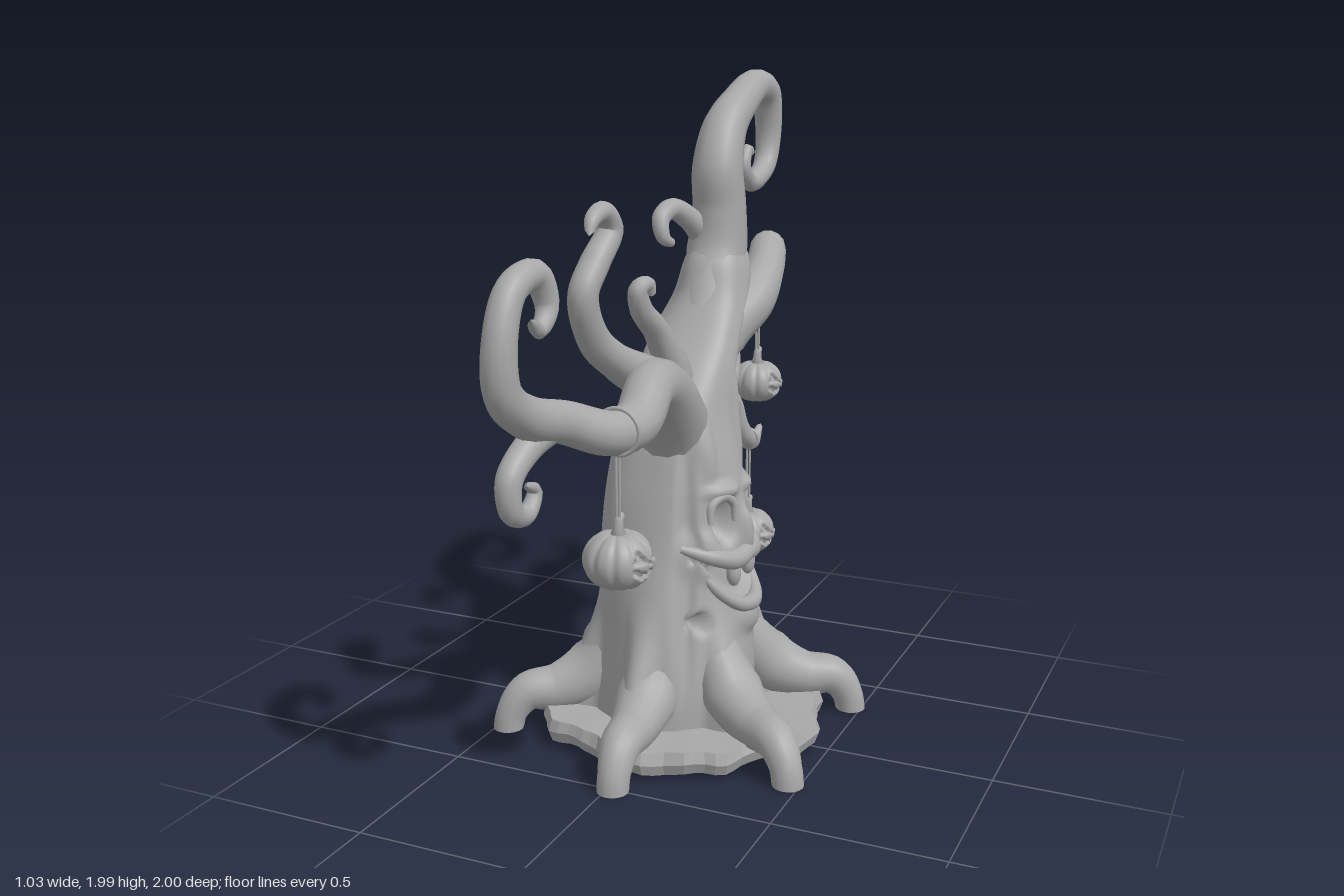
import * as THREE from 'three';

const bark = new THREE.MeshStandardMaterial({ color: 0xa8a8a8 });
bark.name = 'grey';

const smooth = THREE.MathUtils.smoothstep;
const bump = (a, b) => Math.exp(-Math.pow(a * a + b * b, 2));

function add(parent, geo, name) {
  const m = new THREE.Mesh(geo, bark);
  m.name = name;
  parent.add(m);
  return m;
}

// Tapered tube through [x, y, z, radius] points with a rounded tip
function limb(pts, sides = 14, per = 7) {
  const curve = new THREE.CatmullRomCurve3(pts.map(p => new THREE.Vector3(p[0], p[1], p[2])));
  const n = pts.length * per;
  const geo = new THREE.TubeGeometry(curve, n, 1, sides);
  const pos = geo.attributes.position, v = new THREE.Vector3();
  const len = curve.getLength(), tip = pts[pts.length - 1][3];
  for (let i = 0; i <= n; i++) {
    const u = i / n, c = curve.getPointAt(u);
    const t = curve.getUtoTmapping(u) * (pts.length - 1);
    const k = Math.min(Math.floor(t), pts.length - 2);
    let r = THREE.MathUtils.lerp(pts[k][3], pts[k + 1][3], t - k);
    const left = (1 - u) * len / tip;
    if (left < 1) r *= Math.sqrt(Math.max(0, 1 - (1 - left) ** 2));
    for (let j = 0; j <= sides; j++) {
      const id = i * (sides + 1) + j;
      v.fromBufferAttribute(pos, id).sub(c).multiplyScalar(r).add(c);
      pos.setXYZ(id, v.x, Math.max(0, v.y), v.z);
    }
  }
  return geo;
}

// Trunk extents by height: y, x min, x max, z min, z max
const rows = [
  [0.03, -0.27, 0.24, -0.31, 0.28], [0.2, -0.262, 0.24, -0.3, 0.265],
  [0.4, -0.248, 0.22, -0.28, 0.23], [0.6, -0.253, 0.203, -0.257, 0.188],
  [0.8, -0.235, 0.18, -0.238, 0.15], [1.0, -0.203, 0.14, -0.225, 0.085],
  [1.12, -0.178, 0.13, -0.235, 0.0], [1.22, -0.158, 0.12, -0.27, -0.095],
  [1.32, -0.13, 0.11, -0.36, -0.17], [1.45, -0.1, 0.08, -0.415, -0.225],
  [1.53, -0.03, 0.02, -0.36, -0.3],
];
const interp = new THREE.CubicInterpolant(rows.map(r => r[0]), rows.flatMap(r => r.slice(1)), 4);
function section(y) {
  const [a, b, c, d] = interp.evaluate(y);
  return { cx: (a + b) / 2, rx: (b - a) / 2, cz: (c + d) / 2, rz: (d - c) / 2 };
}
// x of the face side of the trunk at a given height and z
function surfaceX(y, z) {
  const s = section(y);
  return s.cx + s.rx * Math.sqrt(Math.max(0.05, 1 - ((z - s.cz) / s.rz) ** 2));
}

// Relief of the carved face at (y, z)
const faceZ = -0.035;
function carve(y, z) {
  let d = 0;
  for (const s of [-1, 1]) {
    const ez = z - faceZ - s * 0.073;
    d -= 0.06 * bump(ez / 0.034, (y - 0.69) / 0.06);
    d += 0.022 * bump(ez / 0.055, (y - 0.785) / 0.022);
    d += 0.025 * bump((z - faceZ - s * 0.15) / 0.045, (y - 0.6) / 0.07);
    d += 0.018 * bump((z - faceZ - s * 0.1) / 0.03, (y - 0.96) / 0.13);
  }
  d += 0.025 * bump((z - faceZ) / 0.022, (y - 0.65) / 0.07);
  d += 0.025 * bump((z - faceZ) / 0.07, (y - 0.39) / 0.05);
  const q = (z - faceZ) / 0.155;
  const low = 0.44 + 0.12 * q * q, high = 0.56 + 0.03 * q * q;
  if (Math.abs(q) < 1.15) d -= 0.045 * smooth(y, low - 0.01, low + 0.02) * (1 - smooth(y, high - 0.01, high + 0.02));
  d -= 0.05 * bump((z - 0.15) / 0.018, (y - 0.4) / 0.028);
  return d;
}

function trunkGeometry() {
  const N = 128, M = 120, pos = [], idx = [];
  for (let i = 0; i <= M; i++) {
    const y = 0.03 + 1.5 * i / M, s = section(y);
    const flare = 1 - smooth(y, 0.08, 0.5);
    for (let j = 0; j < N; j++) {
      const a = j / N * Math.PI * 2;
      // knobbly bark, a long cleft beside the face, swelling towards the six roots
      const w = 1 + 0.025 * Math.sin(5 * a + 3 * y) + 0.02 * Math.sin(3 * a - 7 * y)
        - 0.09 * bump((a - 1.02) / 0.13, (y - 0.58) / 0.36)
        + 0.3 * flare * Math.max(0, -Math.cos(6 * a)) ** 1.5;
      let x = s.cx + s.rx * w * Math.cos(a);
      const z = s.cz + s.rz * w * Math.sin(a);
      if (Math.cos(a) > 0) x += carve(y, z) * smooth(Math.cos(a), 0.05, 0.4);
      pos.push(x, y, z);
      if (i < M) {
        const p = i * N + j, q = i * N + (j + 1) % N;
        idx.push(p, p + N, q, q, p + N, q + N);
      }
    }
  }
  const geo = new THREE.BufferGeometry();
  geo.setAttribute('position', new THREE.Float32BufferAttribute(pos, 3));
  geo.setIndex(idx);
  geo.computeVertexNormals();
  return geo;
}

// Branch centre lines: x, y, z, radius
const branches = {
  crownCurl: [[-0.01, 1.2, -0.19, 0.07], [-0.01, 1.32, -0.255, 0.085], [-0.01, 1.45, -0.32, 0.095],
    [-0.01, 1.58, -0.338, 0.084], [-0.015, 1.7, -0.335, 0.08], [-0.02, 1.82, -0.4, 0.07], [-0.015, 1.89, -0.5, 0.06],
    [-0.015, 1.945, -0.65, 0.051], [-0.015, 1.915, -0.745, 0.05], [-0.02, 1.78, -0.785, 0.043], [-0.02, 1.68, -0.75, 0.037],
    [-0.02, 1.635, -0.62, 0.03], [-0.02, 1.69, -0.565, 0.024], [-0.02, 1.745, -0.6, 0.018], [-0.02, 1.72, -0.635, 0.012]],
  crownTwig: [[-0.03, 1.47, -0.32, 0.05], [-0.07, 1.55, -0.25, 0.036], [-0.1, 1.59, -0.18, 0.032],
    [-0.11, 1.565, -0.12, 0.028], [-0.1, 1.51, -0.115, 0.022], [-0.09, 1.485, -0.165, 0.012]],
  upperBackBranch: [[0, 1.06, -0.15, 0.05], [0.035, 1.2, -0.24, 0.085], [0.085, 1.295, -0.37, 0.078],
    [0.085, 1.365, -0.48, 0.065], [0.05, 1.425, -0.61, 0.058], [0, 1.365, -0.72, 0.05], [-0.05, 1.25, -0.795, 0.042],
    [-0.09, 1.225, -0.9, 0.035], [-0.1, 1.285, -0.965, 0.031], [-0.09, 1.36, -0.97, 0.028],
    [-0.08, 1.42, -0.93, 0.02], [-0.08, 1.39, -0.895, 0.01]],
  lowerBackBranch: [[-0.03, 0.76, -0.12, 0.08], [-0.045, 0.87, -0.24, 0.072], [-0.06, 0.915, -0.36, 0.054],
    [-0.06, 0.94, -0.45, 0.05], [-0.05, 0.915, -0.53, 0.042], [-0.04, 0.825, -0.58, 0.038], [-0.03, 0.77, -0.635, 0.032],
    [-0.03, 0.742, -0.7, 0.026], [-0.03, 0.785, -0.775, 0.008]],
  lowerBackTwig: [[-0.06, 0.93, -0.46, 0.035], [-0.06, 1.0, -0.57, 0.03], [-0.07, 1.08, -0.595, 0.028],
    [-0.07, 1.135, -0.545, 0.023], [-0.07, 1.11, -0.485, 0.016], [-0.07, 1.08, -0.505, 0.01]],
  mainFrontBranch: [[-0.02, 0.8, -0.06, 0.1], [0, 0.99, 0.055, 0.115], [0.03, 1.115, 0.2, 0.092],
    [0.06, 1.15, 0.33, 0.07], [0.08, 1.085, 0.46, 0.068], [0.06, 1.08, 0.58, 0.062], [-0.01, 1.13, 0.7, 0.058],
    [-0.04, 1.175, 0.85, 0.057], [-0.05, 1.25, 0.94, 0.05], [-0.05, 1.38, 0.95, 0.045], [-0.05, 1.5, 0.89, 0.042],
    [-0.04, 1.525, 0.785, 0.04], [-0.03, 1.44, 0.745, 0.032], [-0.03, 1.385, 0.79, 0.022], [-0.03, 1.42, 0.83, 0.012]],
  risingFrontBranch: [[0, 1.14, 0.2, 0.07], [-0.03, 1.22, 0.35, 0.052], [-0.05, 1.3, 0.45, 0.047],
    [-0.05, 1.43, 0.51, 0.042], [-0.04, 1.51, 0.46, 0.042], [-0.03, 1.595, 0.385, 0.037], [-0.03, 1.645, 0.425, 0.03],
    [-0.03, 1.63, 0.49, 0.022], [-0.03, 1.59, 0.51, 0.01]],
  smallMiddleBranch: [[0, 1.02, 0, 0.06], [-0.01, 1.14, 0.02, 0.055], [-0.03, 1.26, 0.085, 0.04], [-0.04, 1.34, 0.17, 0.034],
    [-0.04, 1.4, 0.19, 0.028], [-0.03, 1.41, 0.145, 0.022], [-0.03, 1.37, 0.12, 0.012]],
  droopingFrontTwig: [[-0.02, 1.14, 0.7, 0.045], [-0.05, 1.09, 0.82, 0.04], [-0.06, 1.02, 0.905, 0.036],
    [-0.06, 0.935, 0.895, 0.032], [-0.06, 0.91, 0.82, 0.026], [-0.06, 0.96, 0.775, 0.02], [-0.06, 0.985, 0.82, 0.01]],
};

// Ribbed pumpkin with carved eyes and grin on its +x side
function pumpkinGeometry(r) {
  const geo = new THREE.SphereGeometry(1, 100, 50);
  const pos = geo.attributes.position;
  for (let i = 0; i < pos.count; i++) {
    const x = pos.getX(i), y = pos.getY(i), z = pos.getZ(i), a = Math.atan2(z, x);
    const ring = Math.hypot(x, z);
    let k = 1 - 0.07 * ring * Math.pow(Math.abs(Math.cos(5 * a)), 6);
    if (x > 0.2) {
      const ez = Math.abs(z);
      const eye = y > 0.12 && y < 0.5 && Math.abs(ez - 0.38) < (0.55 - y) * 0.5;
      const nose = y > -0.05 && y < 0.12 && ez < (0.13 - y) * 0.5;
      const tooth = Math.abs(ez - 0.22) < 0.07 && y > -0.3;
      const grin = ez < 0.62 && y > -0.52 + 0.8 * z * z && y < -0.2 + 0.35 * z * z && !tooth;
      if (eye || nose || grin) k -= 0.13;
    }
    pos.setXYZ(i, x * k * r, (y * k * 0.86 - 0.16 * Math.sign(y) * Math.exp(-ring * ring * 9)) * r, z * k * r);
  }
  geo.computeVertexNormals();
  return geo;
}

function hangingPumpkin(x, y, z, r, topY, loopR) {
  const g = new THREE.Group();
  g.name = 'hangingPumpkin';
  add(g, pumpkinGeometry(r), 'pumpkin').position.set(x, y, z);
  const h = y + r * 0.6;
  add(g, limb([[x, h, z, 0.026], [x, h + 0.03, z, 0.015], [x, h + 0.055, z - 0.008, 0.013],
    [x, h + 0.06, z - 0.025, 0.012]], 10), 'pumpkinStem');
  for (const s of [-1, 1])
    add(g, limb([[x + s * 0.004, h + 0.03, z, 0.004], [x + s * 0.005, (h + topY) / 2, z, 0.004],
      [x + s * 0.005, topY - loopR, z, 0.004]], 6), 'string');
  add(g, new THREE.TorusGeometry(loopR, 0.006, 8, 28), 'stringLoop').position.set(x, topY, z);
  return g;
}

// Ragged slab whose underside is pleated towards the middle
function slabGeometry() {
  const geo = new THREE.CylinderGeometry(1, 1, 1, 90, 2);
  const pos = geo.attributes.position;
  for (let i = 0; i < pos.count; i++) {
    const x = pos.getX(i), y = pos.getY(i), z = pos.getZ(i), a = Math.atan2(z, x);
    const rim = Math.hypot(x, z) > 0.5 ? 1 : 0;
    const r = 0.425 + 0.017 * Math.sin(9 * a) + 0.014 * Math.sin(5 * a + 1) + 0.006 * Math.sin(23 * a)
      + (Math.abs(y) < 0.1 ? 0.012 : 0);
    const wave = rim * (y > 0.1 ? 0.3 : 1) * (0.006 * Math.sin(13 * a) + 0.004 * Math.sin(8 * a + 2));
    pos.setXYZ(i, 0.01 + r * x, 0.054 + 0.068 * y + wave + (y < -0.1 ? 0.02 * (1 - rim) : 0), -0.02 + r * z);
  }
  const flat = geo.toNonIndexed();
  flat.computeVertexNormals();
  return flat;
}

export function createModel() {
  const tree = new THREE.Group();
  tree.name = 'spookyTree';
  add(tree, trunkGeometry(), 'trunk');
  for (const [name, pts] of Object.entries(branches)) add(tree, limb(pts), name);
  add(tree, slabGeometry(), 'groundSlab');

  // Six arched roots
  for (const [x, z] of [[0.47, -0.32], [0.47, 0.27], [-0.47, 0.26], [-0.47, -0.33], [0.02, 0.51], [0, -0.57]]) {
    const at = (f, y, r) => [x * f, y, -0.02 + (z + 0.02) * f, r];
    add(tree, limb([at(0.3, 0.32, 0.07), at(0.5, 0.185, 0.095), at(0.7, 0.13, 0.072), at(0.88, 0.115, 0.06),
      at(0.97, 0.05, 0.048), at(1, -0.06, 0.046)], 16), 'root');
  }

  // Lips, brows and teeth following the trunk surface
  const onFace = list => list.map(([z, y, out, r]) => [surfaceX(y, z) + out, y, z, r]);
  add(tree, limb(onFace([[0.15, 0.625, -0.02, 0.012], [0.1, 0.595, 0, 0.025], [0.03, 0.575, 0.004, 0.032],
    [-0.035, 0.583, 0.006, 0.03], [-0.1, 0.575, 0.004, 0.032], [-0.165, 0.6, 0, 0.025],
    [-0.215, 0.635, -0.02, 0.012]])), 'upperLip');
  add(tree, limb(onFace([[0.125, 0.56, -0.025, 0.01], [0.09, 0.485, -0.008, 0.018], [0.03, 0.435, 0.008, 0.022],
    [-0.035, 0.425, 0.014, 0.026], [-0.1, 0.435, 0.008, 0.022], [-0.16, 0.485, -0.008, 0.018],
    [-0.195, 0.56, -0.025, 0.01]])), 'lowerLip');
  for (const s of [-1, 1]) {
    const at = (d, y, out, r) => [faceZ + s * d, y, out, r];
    add(tree, limb(onFace([at(0.12, 0.69, -0.01, 0.01), at(0.113, 0.745, -0.004, 0.014), at(0.075, 0.77, 0, 0.016),
      at(0.037, 0.74, -0.002, 0.013), at(0.03, 0.68, -0.007, 0.01)])), 'eyelid');
    const tooth = add(tree, new THREE.SphereGeometry(1, 20, 14), 'tooth');
    tooth.scale.set(0.022, 0.042, 0.026);
    tooth.position.set(surfaceX(0.53, faceZ + s * 0.06) - 0.008, 0.53, faceZ + s * 0.06);
  }

  tree.add(hangingPumpkin(0.08, 0.73, 0.575, 0.099, 1.085, 0.064));
  tree.add(hangingPumpkin(-0.09, 0.91, -0.89, 0.09, 1.225, 0.04));
  tree.add(hangingPumpkin(-0.03, 0.43, -0.66, 0.095, 0.76, 0.034));
  return tree;
}
